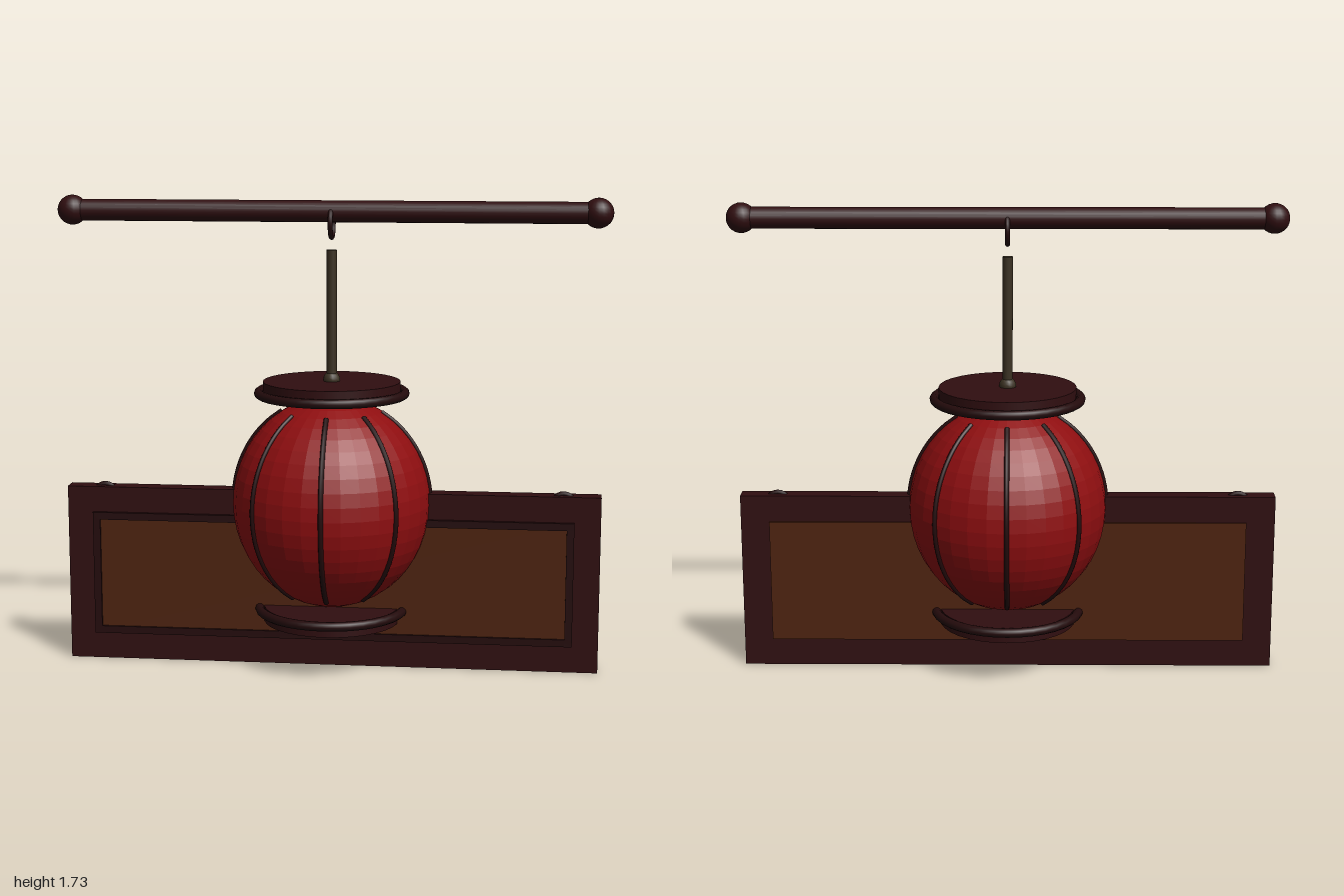
import * as THREE from 'three';

const mat = (name, color, flat = false) => {
  const m = new THREE.MeshStandardMaterial({ color, flatShading: flat });
  m.name = name;
  return m;
};

export function createModel() {
  const model = new THREE.Group();
  model.name = 'hangingLanternSign';
  const wood = mat('darkWood', 0x300e10);
  const trim = mat('darkTrim', 0x240b0c);
  const red = mat('redPaper', 0x8f0e10, true);
  const brown = mat('brownPanel', 0x4e230f);
  const metal = mat('agedMetal', 0x3a3021);

  const add = (name, geometry, material, x = 0, y = 0, z = 0) => {
    const mesh = new THREE.Mesh(geometry, material);
    mesh.name = name;
    mesh.position.set(x, y, z);
    model.add(mesh);
    return mesh;
  };

  // Hanging bar with ball ends
  add('hangingBar', new THREE.CylinderGeometry(0.039, 0.039, 1.89, 20), wood, 0, 1.672, 0).rotation.z = Math.PI / 2;
  for (const s of [-1, 1]) {
    add('barBall', new THREE.SphereGeometry(0.054, 20, 14), wood, s * 0.945, 1.672, 0);
  }

  // Hook ring and suspension rod
  add('hookRing', new THREE.TorusGeometry(0.053, 0.009, 10, 28), trim, 0, 1.632, 0).rotation.y = Math.PI / 2;
  add('suspensionRod', new THREE.CylinderGeometry(0.019, 0.019, 0.475, 14), metal, 0, 1.297, 0);
  add('rodFoot', new THREE.SphereGeometry(0.031, 14, 10), metal, 0, 1.065, 0);

  // Paper lantern body
  const R = 0.362, H = 0.388, CY = 0.613;
  const body = new THREE.SphereGeometry(1, 32, 24);
  body.scale(R, H, R);
  add('lanternBody', body, red, 0, CY, 0);

  // Eight ribs following the body
  const points = [];
  for (let i = 0; i <= 12; i++) {
    const a = (30 + i * 10) * Math.PI / 180;
    points.push(new THREE.Vector3(R * Math.sin(a), H * Math.cos(a), 0));
  }
  const ribGeometry = new THREE.TubeGeometry(new THREE.CatmullRomCurve3(points), 32, 0.009, 8);
  for (let i = 0; i < 8; i++) {
    add('lanternRib', ribGeometry, trim, 0, CY, 0).rotation.y = i * Math.PI / 4;
  }

  // Caps: disc with a rounded rim, mirrored above and below
  for (const [label, discY, rimY] of [['top', 1.032, 1.017], ['bottom', 0.195, 0.212]]) {
    add(label + 'CapDisc', new THREE.CylinderGeometry(0.25, 0.25, 0.056, 32), wood, 0, discY, 0);
    add(label + 'CapRim', new THREE.TorusGeometry(0.266, 0.017, 10, 36), trim, 0, rimY, 0).rotation.x = Math.PI / 2;
  }

  // Sign board with panel and front trim
  add('signBoard', new THREE.BoxGeometry(1.96, 0.655, 0.067), wood, 0, 0.3275, 0);
  add('signPanel', new THREE.BoxGeometry(1.75, 0.455, 0.083), brown, 0, 0.33, -0.002);
  for (const s of [-1, 1]) {
    add('trimRail', new THREE.BoxGeometry(1.77, 0.027, 0.02), trim, 0, 0.33 + s * 0.217, 0.038);
    add('trimStile', new THREE.BoxGeometry(0.027, 0.461, 0.02), trim, s * 0.8715, 0.33, 0.038);
    // Small rings set in the top edge
    add('signRing', new THREE.TorusGeometry(0.041, 0.009, 10, 24), trim, s * 0.845, 0.62, 0);
  }
  return model;
}
